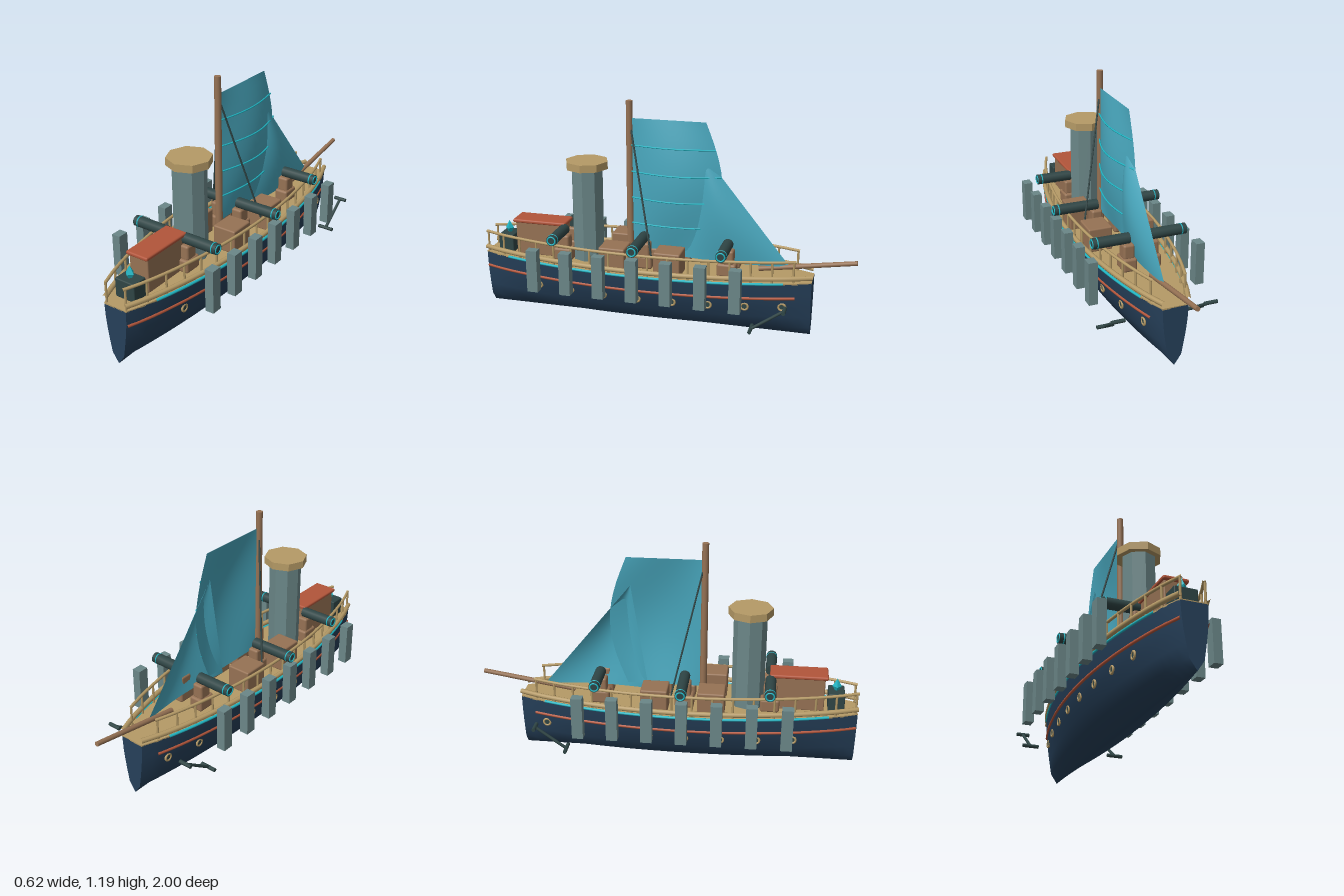
import * as THREE from 'three';
import { RoundedBoxGeometry } from 'three/addons/geometries/RoundedBoxGeometry.js';

const V = (x, y, z) => new THREE.Vector3(x, y, z);
const mat = (name, color, side = THREE.FrontSide) => {
  const m = new THREE.MeshStandardMaterial({ color, side });
  m.name = name;
  return m;
};

export function createModel() {
  const ship = new THREE.Group();
  ship.name = 'ship';
  const navy = mat('navy hull', 0x26405a, THREE.DoubleSide);
  const tan = mat('tan wood', 0xb59a66);
  const brown = mat('brown wood', 0x967254);
  const slate = mat('slate', 0x6b8788);
  const iron = mat('dark iron', 0x2f4545);
  const sailBlue = mat('sail blue', 0x48a6bc, THREE.DoubleSide);
  const cyan = mat('cyan trim', 0x20b6c4);
  const red = mat('red trim', 0xb2553a);

  const add = (name, geo, m, x = 0, y = 0, z = 0) => {
    const mesh = new THREE.Mesh(geo, m);
    mesh.name = name;
    mesh.position.set(x, y, z);
    ship.add(mesh);
    return mesh;
  };
  const box = (name, m, w, h, d, x, y, z, r = 0) =>
    add(name, r ? new RoundedBoxGeometry(w, h, d, 2, r) : new THREE.BoxGeometry(w, h, d), m, x, y, z);
  // Round bar between two points
  const bar = (name, m, a, b, r, r2 = r, sides = 10) => {
    const mesh = add(name, new THREE.CylinderGeometry(r2, r, a.distanceTo(b), sides), m);
    mesh.position.copy(a).lerp(b, 0.5);
    mesh.quaternion.setFromUnitVectors(V(0, 1, 0), b.clone().sub(a).normalize());
    return mesh;
  };
  const tube = (name, m, pts, r) =>
    add(name, new THREE.TubeGeometry(new THREE.CatmullRomCurve3(pts), 40, r, 8), m);
  // Surface from a function of u, v in 0..1
  const sheet = (name, m, nu, nv, fn) => {
    const pos = [], idx = [];
    for (let i = 0; i <= nu; i++) for (let j = 0; j <= nv; j++) pos.push(...fn(i / nu, j / nv).toArray());
    for (let i = 0; i < nu; i++) for (let j = 0; j < nv; j++) {
      const a = i * (nv + 1) + j, b = a + nv + 1;
      idx.push(a, b, a + 1, b, b + 1, a + 1);
    }
    const g = new THREE.BufferGeometry();
    g.setAttribute('position', new THREE.Float32BufferAttribute(pos, 3));
    g.setIndex(idx);
    g.computeVertexNormals();
    return add(name, g, m);
  };

  // Hull: half width along z, and one cross-section scaled by it
  const STERN = 1, BOW = -0.78;
  const halfWidth = z => 0.066 + 0.15 * Math.pow(Math.max(0, 1 - ((z - 0.11) / 0.89) ** 2), 0.9);
  const section = [[0, 0.003], [0.53, 0.055], [0.7, 0.12], [0.84, 0.18], [0.94, 0.24], [1, 0.315]];
  const ring = [...section.slice(1).reverse().map(([x, y]) => [-x, y]), ...section];
  const hullX = (z, y) => {
    for (let i = 1; i < section.length; i++) {
      const [x0, y0] = section[i - 1], [x1, y1] = section[i];
      if (y <= y1) return halfWidth(z) * (x0 + (x1 - x0) * (y - y0) / (y1 - y0));
    }
    return halfWidth(z);
  };
  sheet('hull', navy, 32, ring.length - 1, (u, v) => {
    const z = STERN + (BOW - STERN) * u, [x, y] = ring[Math.round(v * (ring.length - 1))];
    return V(x * halfWidth(z), y, z);
  });
  for (const [name, z] of [['sternPlate', STERN], ['bowPlate', BOW]]) {
    const s = new THREE.Shape(ring.map(([x, y]) => new THREE.Vector2(x * halfWidth(z), y)));
    add(name, new THREE.ShapeGeometry(s), navy, 0, 0, z);
  }

  // Deck
  const outline = [];
  for (const side of [1, -1]) for (let i = 0; i <= 24; i++) {
    const t = side > 0 ? i / 24 : 1 - i / 24, z = STERN + (BOW - STERN) * t;
    outline.push(new THREE.Vector2(side * halfWidth(z), -z));
  }
  const deckGeo = new THREE.ExtrudeGeometry(new THREE.Shape(outline), { depth: 0.008, bevelEnabled: false });
  add('deck', deckGeo.rotateX(-Math.PI / 2), tan, 0, 0.312, 0);

  // Lines following the hull side
  const along = (side, z0, z1, y, inset) => Array.from({ length: 17 }, (_, i) => {
    const z = z0 + (z1 - z0) * i / 16;
    return V(side * (hullX(z, y) - inset), y, z);
  });

  for (const s of [1, -1]) {
    tube('redStripe', red, along(s, 0.995, -0.7, 0.235, 0), 0.008);
    tube('cyanStripe', cyan, along(s, 0.85, -0.64, 0.317, 0.001), 0.007);
    tube('gunwale', tan, along(s, STERN, BOW, 0.345, 0.003), 0.013);
    tube('upperRail', tan, along(s, STERN, -0.7, 0.43, 0.014), 0.008);
    for (let i = 0; i <= 16; i++) {
      const z = 0.99 - i * 0.105, x = s * (halfWidth(z) - 0.012);
      bar('railPost', tan, V(x, 0.315, z), V(x, 0.43, z), 0.006, 0.006, 6);
    }

    // Portholes
    for (let i = 0; i < 8; i++) {
      const z = 0.67 - i * 0.187, x = s * (hullX(z, 0.185) + 0.002);
      const rim = add('portholeRim', new THREE.TorusGeometry(0.018, 0.006, 8, 16), tan, x, 0.185, z);
      rim.rotation.y = Math.PI / 2;
      bar('portholeGlass', iron, V(x - s * 0.006, 0.185, z), V(x + s * 0.002, 0.185, z), 0.016, 0.016, 16);
    }

    // Side panels
    for (let i = 0; i < 7; i++)
      box('sidePanel', slate, 0.047, 0.228, 0.058, s * 0.285, 0.328, 0.637 - i * 0.1775);

    // Anchors
    const low = V(s * 0.244, 0.115, -0.505), high = V(s * 0.242, 0.23, -0.668);
    bar('anchorShank', iron, low, high, 0.008);
    bar('anchorArm', iron, low.clone().setX(s * 0.2), low.clone().setX(s * 0.287), 0.01);
    bar('anchorStock', iron, high.clone().setX(s * 0.207), high.clone().setX(s * 0.277), 0.01);

    // Cannons on carriages
    for (const [z, end] of [[-0.345, 0.25], [0.1, 0.298], [0.545, 0.25]]) {
      box('carriageBase', brown, 0.075, 0.07, 0.1, s * 0.065, 0.353, z, 0.012);
      box('carriageTop', brown, 0.06, 0.08, 0.07, s * 0.065, 0.42, z, 0.012);
      bar('cannonBarrel', iron, V(s * 0.055, 0.485, z), V(s * end, 0.485, z), 0.028, 0.028, 16);
      const band = add('cannonBand', new THREE.TorusGeometry(0.026, 0.004, 8, 20), cyan, s * (end - 0.024), 0.485, z);
      band.rotation.y = Math.PI / 2;
      const muzzle = add('muzzleRing', new THREE.TorusGeometry(0.021, 0.004, 8, 20), cyan, s * end, 0.485, z);
      muzzle.rotation.y = Math.PI / 2;
    }

    // Deck crates
    for (const z of [-0.05, 0.245])
      box('deckCrate', brown, 0.13, 0.13, 0.14, s * 0.117, 0.382, z, 0.008);

    // Mast stays
    bar('stay', iron, V(s * 0.01, 1.04, 0.18), V(s * 0.153, 0.4, 0.035), 0.005, 0.005, 6);
  }

  // Funnel with octagonal cap
  const octagon = (name, m, r, y0, y1) => {
    const g = new THREE.CylinderGeometry(r, r, y1 - y0, 8).toNonIndexed();
    g.computeVertexNormals();
    add(name, g, m, 0, (y0 + y1) / 2, 0.428);
  };
  octagon('funnel', slate, 0.086, 0.318, 0.83);
  octagon('funnelCap', tan, 0.115, 0.82, 0.86);

  // Deckhouse and stern lantern
  box('deckhouse', brown, 0.11, 0.185, 0.27, 0, 0.41, 0.69, 0.006);
  box('deckhouseRoof', red, 0.128, 0.02, 0.3, 0, 0.507, 0.69, 0.008);
  box('lanternBase', iron, 0.115, 0.1, 0.085, 0, 0.37, 0.888, 0.006);
  const gem = add('lanternCrystal', new THREE.OctahedronGeometry(0.024), cyan, 0, 0.443, 0.888);
  gem.scale.y = 1.75;

  // Mast and bowsprit
  bar('mast', brown, V(0, 0.315, 0.192), V(0, 1.19, 0.192), 0.019, 0.017, 14);
  bar('bowsprit', brown, V(0, 0.345, -0.5), V(0, 0.424, -0.998), 0.014, 0.012, 12);

  // Mainsail with bellied cloth and battens
  const main = (u, v) => V(
    0.003 + 0.05 * Math.sin(Math.PI * u) * Math.sin(Math.PI * v),
    0.4 + 0.7 * v,
    0.18 - u * (0.39 + 0.09 * Math.sin(Math.PI * v)));
  sheet('mainSail', sailBlue, 14, 14, main);
  for (const v of [0.2, 0.4, 0.6, 0.8])
    tube('sailBatten', cyan, Array.from({ length: 9 }, (_, i) => main(i / 8, v).add(V(0.006, 0, 0))), 0.004);

  // Foresail
  const apex = V(0.003, 0.95, -0.19), tack = V(0.003, 0.37, -0.66), clew = V(0.003, 0.37, -0.1);
  sheet('foreSail', sailBlue, 12, 12, (u, v) => {
    const p = clew.clone().lerp(tack, u).lerp(apex, v);
    p.x += 0.05 * Math.sin(Math.PI * u) * Math.sin(Math.PI * (0.15 + 0.85 * v));
    return p;
  });

  return ship;
}
